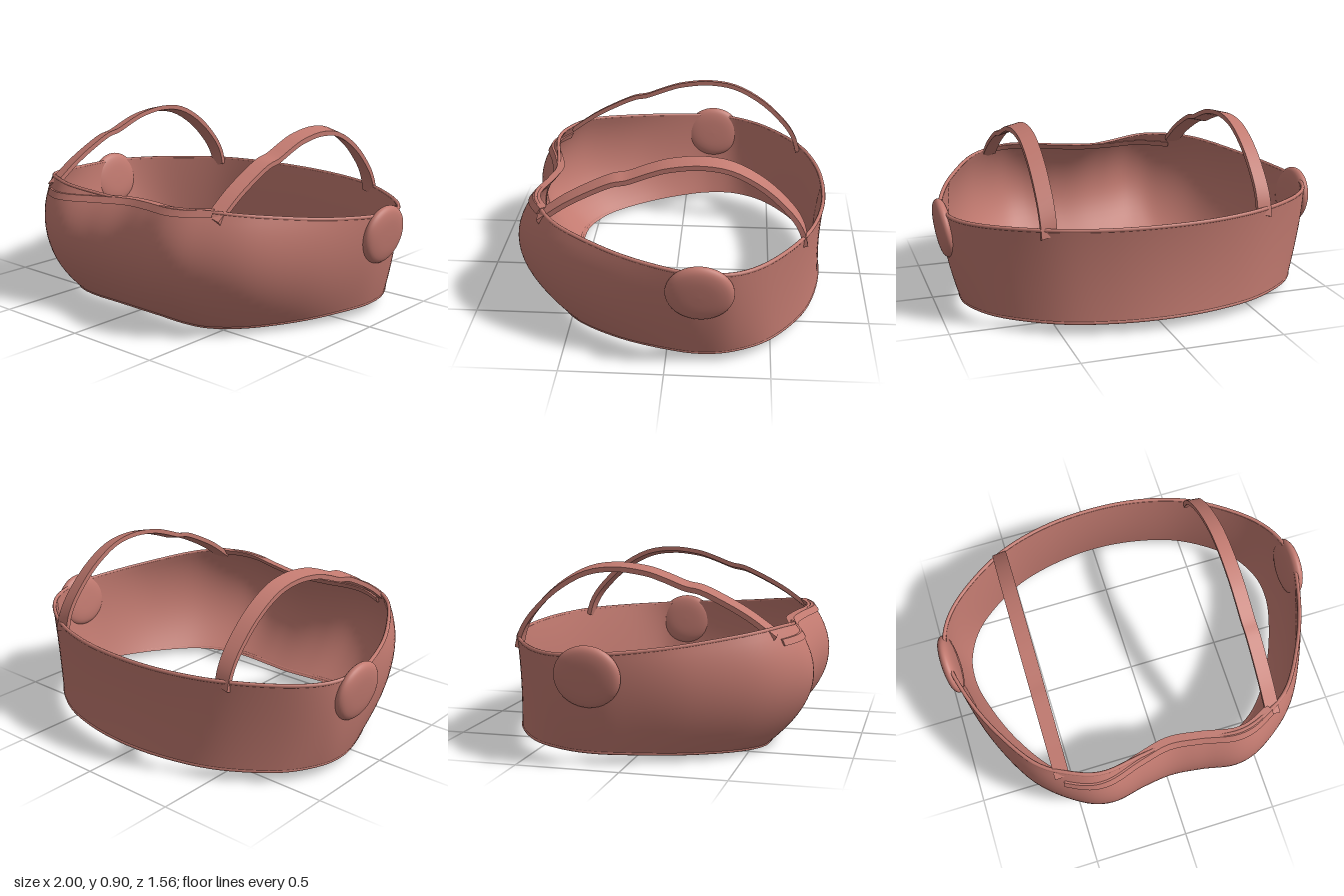
import * as THREE from 'three';
import { toCreasedNormals } from 'three/addons/utils/BufferGeometryUtils.js';

const fabric = new THREE.MeshStandardMaterial({ color: 0xc27a70, side: THREE.DoubleSide });

// Half outlines [x, y, z] from front centre round the left side to back centre
const bottomHalf = [[0, 0, .56], [.14, .003, .565], [.33, .006, .57], [.47, .01, .54], [.62, .02, .43], [.76, .03, .22],
  [.85, .04, 0], [.885, .045, -.17], [.86, .05, -.33], [.75, .05, -.5], [.52, .05, -.66], [.27, .05, -.74], [0, .05, -.768]];
const middleHalf = [[0, 0, .73], [.16, 0, .75], [.34, 0, .785], [.5, 0, .735], [.7, 0, .57], [.85, 0, .29],
  [.93, 0, 0], [.95, 0, -.17], [.92, 0, -.33], [.79, 0, -.49], [.54, 0, -.655], [.28, 0, -.735], [0, 0, -.76]];
const topHalf = [[0, .575, .64], [.16, .585, .66], [.35, .605, .69], [.5, .61, .65], [.68, .595, .53], [.85, .555, .25],
  [.94, .53, 0], [.965, .52, -.17], [.93, .51, -.34], [.8, .51, -.5], [.55, .515, -.665], [.28, .515, -.75], [0, .515, -.775]];

// Mirror a half outline into a closed curve
function ring(half) {
  const other = half.slice(1, -1).reverse().map(([x, y, z]) => [-x, y, z]);
  const points = [...half, ...other].map(p => new THREE.Vector3(...p));
  return new THREE.CatmullRomCurve3(points, true, 'catmullrom', 0.5);
}
const bottom = ring(bottomHalf), middle = ring(middleHalf), top = ring(topHalf);

// Point on the band: u runs round it, v from bottom to top, through the fullest outline at v = M
const M = 0.62;
function bandPoint(u, v, inset = 0) {
  u = (u % 1 + 1) % 1;
  const b = bottom.getPoint(u), m = middle.getPoint(u), t = top.getPoint(u);
  const wb = (v - M) * (v - 1) / M, wm = v * (v - 1) / (M * (M - 1)), wt = v * (v - M) / (1 - M);
  const d = middle.getTangent(u);
  const len = Math.hypot(d.x, d.z);
  return new THREE.Vector3(
    b.x * wb + m.x * wm + t.x * wt + d.z / len * inset,
    b.y + (t.y - b.y) * v,
    b.z * wb + m.z * wm + t.z * wt - d.x / len * inset);
}

// Skin closed cross-sections, optionally joining the last to the first
function loft(sections, closed) {
  const n = sections[0].length, index = [];
  const rows = closed ? sections.length : sections.length - 1;
  for (let i = 0; i < rows; i++) {
    const k = (i + 1) % sections.length;
    for (let j = 0; j < n; j++) {
      const l = (j + 1) % n;
      index.push(i * n + j, k * n + j, k * n + l, i * n + j, k * n + l, i * n + l);
    }
  }
  const g = new THREE.BufferGeometry().setFromPoints(sections.flat());
  g.setIndex(index);
  return toCreasedNormals(g, 0.9);
}

function add(parent, name, geometry) {
  const mesh = new THREE.Mesh(geometry, fabric);
  mesh.name = name;
  parent.add(mesh);
  return mesh;
}

// Double-walled body of the band
function bandGeometry() {
  const sections = [], around = 144, rows = 16;
  for (let i = 0; i < around; i++) {
    const s = [];
    for (let j = 0; j <= rows; j++) s.push(bandPoint(i / around, j / rows));
    for (let j = rows; j >= 0; j--) s.push(bandPoint(i / around, j / rows, 0.018));
    sections.push(s);
  }
  return loft(sections, true);
}

// Rounded hem following the upper or lower edge
function hemGeometry(v) {
  const points = [];
  for (let i = 0; i < 72; i++) points.push(bandPoint(i / 72, v, 0.007));
  return new THREE.TubeGeometry(new THREE.CatmullRomCurve3(points, true), 144, 0.01, 8, true);
}

// Slanting trim across the front edge
function trimGeometry() {
  const sections = [], steps = 48, reach = 3.27 / 24;
  for (let i = 0; i <= steps; i++) {
    const f = i / steps, u = (f * 2 - 1) * reach;
    const y = 0.545 + 0.06 * f;
    const low = bottom.getPoint((u + 1) % 1).y, high = top.getPoint((u + 1) % 1).y;
    const at = (dy, inset) => bandPoint(u, (y + dy - low) / (high - low), inset);
    sections.push([at(-0.015, -0.01), at(0.015, -0.01), at(0.015, 0.03), at(-0.015, 0.03)]);
  }
  // Close both ends
  const cap = s => s.map(() => s.reduce((a, p) => a.add(p), new THREE.Vector3()).multiplyScalar(1 / s.length));
  return loft([cap(sections[0]), ...sections, cap(sections[steps])], false);
}

// Flat strap arching from the front edge to the back edge
function strapGeometry(side) {
  const path = [[.635, .575], [.58, .615], [.5, .67], [.4, .725], [.28, .78], [.2, .797], [.1, .835], [0, .865],
    [-.15, .88], [-.3, .855], [-.45, .77], [-.57, .655], [-.63, .565], [-.655, .48]];
  const curve = new THREE.SplineCurve(path.map(p => new THREE.Vector2(...p)));
  const upper = [], lower = [], width = 0.075;
  for (let i = 0; i <= 48; i++) {
    const p = curve.getPoint(i / 48), t = curve.getTangent(i / 48);
    upper.push(new THREE.Vector2(p.x + t.y * 0.012, p.y - t.x * 0.012));
    lower.unshift(new THREE.Vector2(p.x - t.y * 0.012, p.y + t.x * 0.012));
  }
  const g = new THREE.ExtrudeGeometry(new THREE.Shape([...upper, ...lower]), { depth: width, bevelEnabled: false });
  g.rotateY(-Math.PI / 2).translate(width / 2, 0, 0);
  // Lean the strap so that its inner edge sits higher
  const pos = g.attributes.position;
  for (let i = 0; i < pos.count; i++) {
    pos.setY(i, pos.getY(i) - side * pos.getX(i) * 0.25);
    pos.setX(i, pos.getX(i) + side * (0.55 + 0.008 * pos.getZ(i)));
  }
  return toCreasedNormals(g, 0.6);
}

// Round pad set through the side of the band
function padGeometry() {
  const profile = [[0, -.038], [.08, -.036], [.13, -.028], [.153, -.015], [.16, 0], [.153, .015], [.13, .028], [.08, .036], [0, .038]];
  const curve = new THREE.SplineCurve(profile.map(p => new THREE.Vector2(...p)));
  const points = curve.getPoints(24);
  points.forEach(p => { p.x = Math.max(0, p.x); });
  return new THREE.LatheGeometry(points, 40).rotateZ(-Math.PI / 2).scale(1, 0.92, 1);
}

export function createModel() {
  const model = new THREE.Group();
  model.name = 'bandTop';
  add(model, 'band', bandGeometry());
  add(model, 'upperHem', hemGeometry(1));
  add(model, 'lowerHem', hemGeometry(0.012));
  add(model, 'frontTrim', trimGeometry());
  for (const side of [1, -1]) {
    const label = side > 0 ? 'left' : 'right';
    add(model, label + 'Strap', strapGeometry(side));
    const pad = add(model, label + 'SidePad', padGeometry());
    pad.position.set(side * 0.952, 0.418, -0.163);
    pad.rotation.z = -side * 0.13;
  }
  return model;
}
